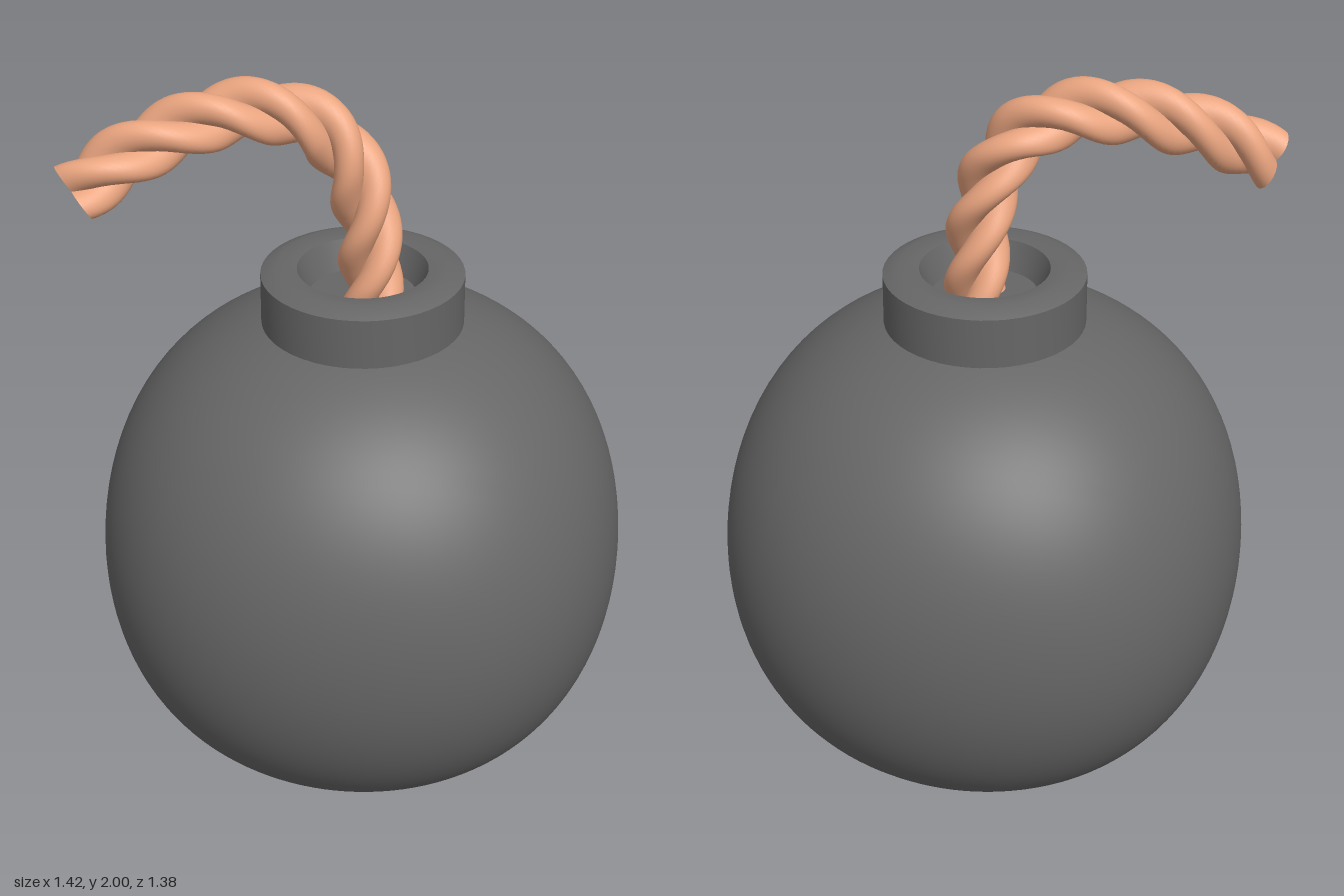
import * as THREE from 'three';
import { mergeVertices, toCreasedNormals } from 'three/addons/utils/BufferGeometryUtils.js';
import { ParametricGeometry } from 'three/addons/geometries/ParametricGeometry.js';

const CENTRE_X = 0.015;
const iron = new THREE.MeshStandardMaterial({ color: 0x666666 });
const cord = new THREE.MeshStandardMaterial({ color: 0xeaa580 });

function part(name, geometry, material) {
  const mesh = new THREE.Mesh(geometry, material);
  mesh.name = name;
  return mesh;
}

// Slightly boxy ball: a subdivided cube pushed out to a rounded shape
function ballGeometry(radius) {
  let g = new THREE.BoxGeometry(1, 1, 1, 28, 28, 28);
  g.deleteAttribute('uv');
  g.deleteAttribute('normal');
  g = mergeVertices(g);
  const pos = g.attributes.position;
  const v = new THREE.Vector3();
  for (let i = 0; i < pos.count; i++) {
    v.fromBufferAttribute(pos, i);
    // even out the spacing of the grid before projecting it
    v.set(...v.toArray().map((c) => Math.tan(c * Math.PI / 2))).normalize();
    const swell = 1 + 0.054 * (1 - (v.x ** 4 + v.y ** 4 + v.z ** 4));
    v.multiplyScalar(radius * swell);
    pos.setXYZ(i, v.x, v.y, v.z);
  }
  g.computeVertexNormals();
  return g;
}

// Bevelled ring with a shallow well for the fuse
function collarGeometry() {
  const profile = [
    [0.26, 1.30], [0.26, 1.472], [0.217, 1.492], [0.167, 1.485], [0.137, 1.41], [0, 1.41],
  ].map(([r, y]) => new THREE.Vector2(r, y));
  return toCreasedNormals(new THREE.LatheGeometry(profile, 48), 0.6);
}

// Three-strand rope twisted around a bent path
function createFuse() {
  const fuse = new THREE.Group();
  fuse.name = 'fuse';
  const path = new THREE.CatmullRomCurve3([
    [0.035, 1.38, 0], [0.035, 1.52, 0], [0.02, 1.66, 0], [-0.015, 1.77, 0.0],
    [-0.08, 1.86, 0.005], [-0.18, 1.91, 0.02], [-0.31, 1.915, 0.05],
    [-0.44, 1.88, 0.095], [-0.56, 1.825, 0.145], [-0.668, 1.752, 0.192],
  ].map((p) => new THREE.Vector3(...p)));
  const STEPS = 120;
  const STRANDS = 3;
  const LOBE = 0.084;
  const TURNS = path.getLength() / 0.48;
  const frames = path.computeFrenetFrames(STEPS, false);

  // point of the rope section at a given length, angle and radius
  const place = (t, angle, radius, target) => {
    const i = Math.round(t * STEPS);
    const a = angle + t * TURNS * Math.PI * 2;
    target.copy(path.getPointAt(i / STEPS))
      .addScaledVector(frames.normals[i], Math.cos(a) * radius)
      .addScaledVector(frames.binormals[i], Math.sin(a) * radius);
  };
  const sector = Math.PI * 2 / STRANDS;

  for (let k = 0; k < STRANDS; k++) {
    // rounded outer face of one strand
    const side = precompute((u, v, target) => {
      const a = (u - 0.5) * sector;
      place(v, a + k * sector, LOBE * Math.cos(a), target);
    }, 14, STEPS);
    fuse.add(part('strand', side, cord));

    // cut end of the strand
    const cap = precompute((u, v, target) => {
      const a = (v - 0.5) * sector;
      place(1, a + k * sector, LOBE * Math.cos(a) * u, target);
    }, 1, 14);
    fuse.add(part('strandEnd', toCreasedNormals(cap, 0.1), cord));
  }
  return fuse;
}

// Parametric patch with normals taken from its faces
function precompute(rule, slices, stacks) {
  const g = new ParametricGeometry(rule, slices, stacks);
  g.computeVertexNormals();
  return g;
}

export function createModel() {
  const model = new THREE.Group();
  model.name = 'roundBombWithFuse';

  const body = part('body', ballGeometry(0.69), iron);
  body.position.set(CENTRE_X, 0.69, 0);

  const collar = part('collar', collarGeometry(), iron);
  collar.position.x = CENTRE_X;

  model.add(body, collar, createFuse());
  return model;
}
